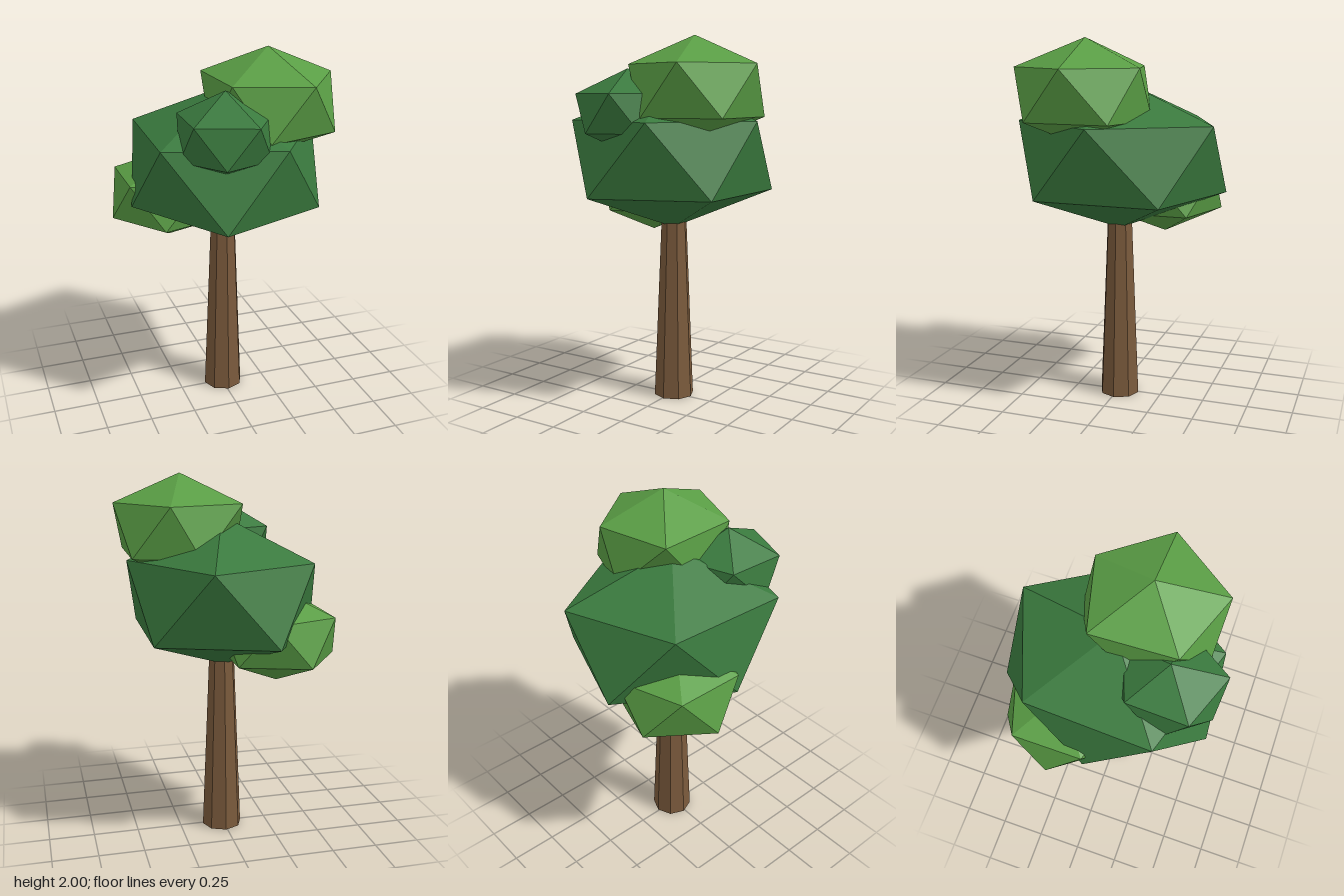
import * as THREE from 'three';

const BARK = 0x7a5a3c, DARK = 0x3a7a3e, LIGHT = 0x5a9e45;

function addMesh(group, name, geometry, color) {
  const mesh = new THREE.Mesh(geometry, new THREE.MeshStandardMaterial({ color, flatShading: true }));
  mesh.name = name;
  group.add(mesh);
  return mesh;
}

// Five-sided ring of [x, z] points around a centre
function ring(cx, cz, radius, startDegrees) {
  return Array.from({ length: 5 }, (_, i) => {
    const a = THREE.MathUtils.degToRad(startDegrees + 72 * i);
    return [cx + radius * Math.cos(a), cz + radius * Math.sin(a)];
  });
}

// Twenty-faced leaf clump: two poles joined through an upper and a lower ring
function clump({ cx, cz, topY, upperY, lowerY, bottomY, upper, lower }) {
  const at = (points, y) => points.map(([x, z]) => [x, y, z]);
  const u = at(upper, upperY), l = at(lower, lowerY);
  const top = [cx, topY, cz], bottom = [cx, bottomY, cz];
  const positions = [];
  for (let i = 0; i < 5; i++) {
    const n = (i + 1) % 5;
    positions.push(
      ...top, ...u[n], ...u[i],
      ...u[i], ...u[n], ...l[i],
      ...l[i], ...u[n], ...l[n],
      ...bottom, ...l[i], ...l[n]
    );
  }
  const geometry = new THREE.BufferGeometry();
  geometry.setAttribute('position', new THREE.Float32BufferAttribute(positions, 3));
  geometry.computeVertexNormals();
  return geometry;
}

export function createModel() {
  const tree = new THREE.Group();
  tree.name = 'tree';

  // Tapered eight-sided trunk, running up into the leaves
  const trunk = addMesh(tree, 'trunk', new THREE.CylinderGeometry(0.067, 0.112, 1.1, 8), BARK);
  trunk.position.set(0.008, 0.55, -0.01);

  // Large central clump
  addMesh(tree, 'mainFoliage', clump({
    cx: 0.005, cz: -0.01, topY: 1.78, upperY: 1.56, lowerY: 1.17, bottomY: 0.965,
    upper: [[0.52, 0], [0.17, 0.515], [-0.43, 0.33], [-0.405, -0.34], [0.175, -0.565]],
    lower: [[0.435, 0.32], [-0.16, 0.555], [-0.505, -0.01], [-0.16, -0.57], [0.44, -0.355]],
  }), DARK);

  // Light clump on top
  addMesh(tree, 'topFoliage', clump({
    cx: 0.21, cz: 0.11, topY: 2, upperY: 1.85, lowerY: 1.58, bottomY: 1.43,
    upper: [[0.57, 0.11], [0.32, 0.465], [-0.06, 0.325], [-0.08, -0.12], [0.32, -0.22]],
    lower: [[0.5, 0.335], [0.1, 0.455], [-0.1, 0.1], [0.165, -0.24], [0.505, -0.115]],
  }), LIGHT);

  // Small dark clump at the upper front
  addMesh(tree, 'frontFoliage', clump({
    cx: -0.085, cz: 0.295, topY: 1.83, upperY: 1.7, lowerY: 1.5, bottomY: 1.39,
    upper: [[0.17, 0.3], [-0.005, 0.57], [-0.3, 0.46], [-0.29, 0.14], [-0.01, 0.04]],
    lower: [[0.105, 0.455], [-0.165, 0.555], [-0.335, 0.33], [-0.16, 0.06], [0.12, 0.14]],
  }), DARK);

  // Light clump low at the back right
  addMesh(tree, 'backFoliage', clump({
    cx: -0.25, cz: -0.2, topY: 1.41, upperY: 1.28, lowerY: 1.045, bottomY: 0.91,
    upper: ring(-0.25, -0.2, 0.32, 0), lower: ring(-0.25, -0.2, 0.322, 36),
  }), LIGHT);

  return tree;
}
